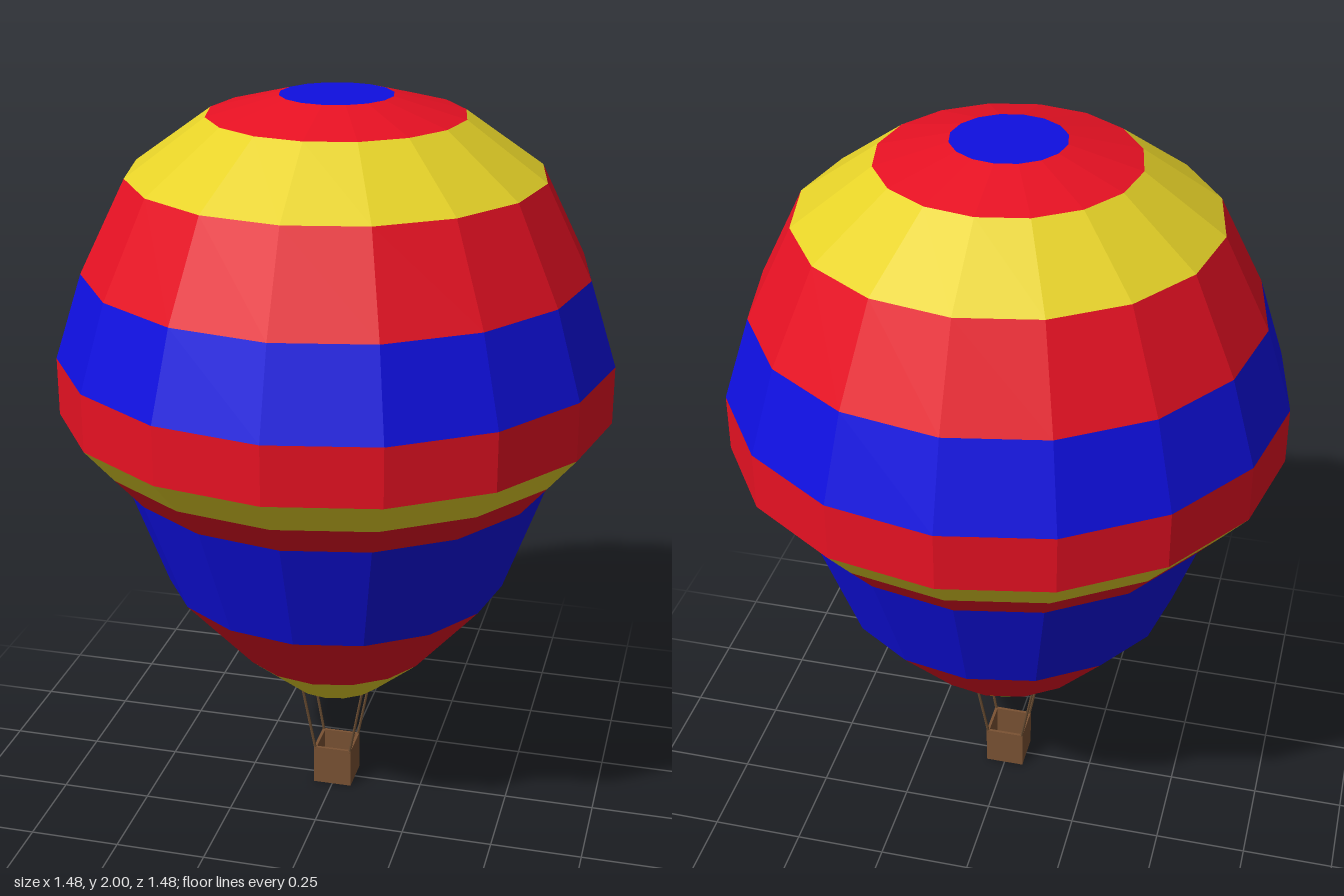
import * as THREE from 'three';

const mat = (name, color) => {
  const m = new THREE.MeshStandardMaterial({ color, flatShading: true });
  m.name = name;
  return m;
};

export function createModel() {
  const red = mat('red fabric', 0xe81123);
  const yellow = mat('yellow fabric', 0xe6d228);
  const blue = mat('blue fabric', 0x0f0fe0);
  const wicker = mat('wicker', 0x7a5233);
  const ropeBrown = mat('rope', 0x664a30);

  const model = new THREE.Group();
  model.name = 'hotAirBalloon';
  const add = (parent, name, geometry, material) => {
    const mesh = new THREE.Mesh(geometry, material);
    mesh.name = name;
    parent.add(mesh);
    return mesh;
  };

  // Envelope: stacked 16-sided rings, [radius, height] from mouth to crown
  const envelope = new THREE.Group();
  envelope.name = 'envelope';
  model.add(envelope);
  const profile = [
    [0, 0.325], [0.137, 0.33], [0.272, 0.447], [0.467, 0.67], [0.583, 0.99], [0.66, 1.08],
    [0.74, 1.175], [0.74, 1.33], [0.667, 1.555], [0.545, 1.8], [0.336, 1.95], [0.148, 2], [0, 2],
  ].map(([r, y]) => new THREE.Vector2(r, y));
  const bands = [red, yellow, red, blue, red, yellow, red, blue, red, yellow, red, blue];
  bands.forEach((material, i) => {
    const name = i === 0 ? 'mouthCap' : i === bands.length - 1 ? 'crownCap' : `band${i}`;
    add(envelope, name, new THREE.LatheGeometry([profile[i], profile[i + 1]], 16), material);
  });

  // Basket: open square box
  const basket = new THREE.Group();
  basket.name = 'basket';
  model.add(basket);
  const half = 0.055, height = 0.115, wall = 0.008;
  const square = (Type, h) => new Type([[-h, -h], [h, -h], [h, h], [-h, h]].map(([x, y]) => new THREE.Vector2(x, y)));
  const rim = square(THREE.Shape, half);
  rim.holes.push(square(THREE.Path, half - wall));
  const walls = new THREE.ExtrudeGeometry(rim, { depth: height, bevelEnabled: false });
  add(basket, 'basketWalls', walls.rotateX(-Math.PI / 2), wicker);
  const inner = 2 * (half - wall);
  add(basket, 'basketFloor', new THREE.BoxGeometry(inner, 0.01, inner).translate(0, 0.005, 0), wicker);

  // Four ropes from the basket corners to the mouth
  const up = new THREE.Vector3(0, 1, 0);
  for (const sx of [-1, 1]) {
    for (const sz of [-1, 1]) {
      const a = new THREE.Vector3(sx * 0.05, 0.105, sz * 0.051);
      const b = new THREE.Vector3(sx * 0.092, 0.335, sz * 0.058);
      const dir = b.clone().sub(a);
      const rope = add(model, 'rope', new THREE.CylinderGeometry(0.004, 0.004, dir.length(), 6), ropeBrown);
      rope.position.copy(a).add(b).multiplyScalar(0.5);
      rope.quaternion.setFromUnitVectors(up, dir.normalize());
    }
  }
  return model;
}
